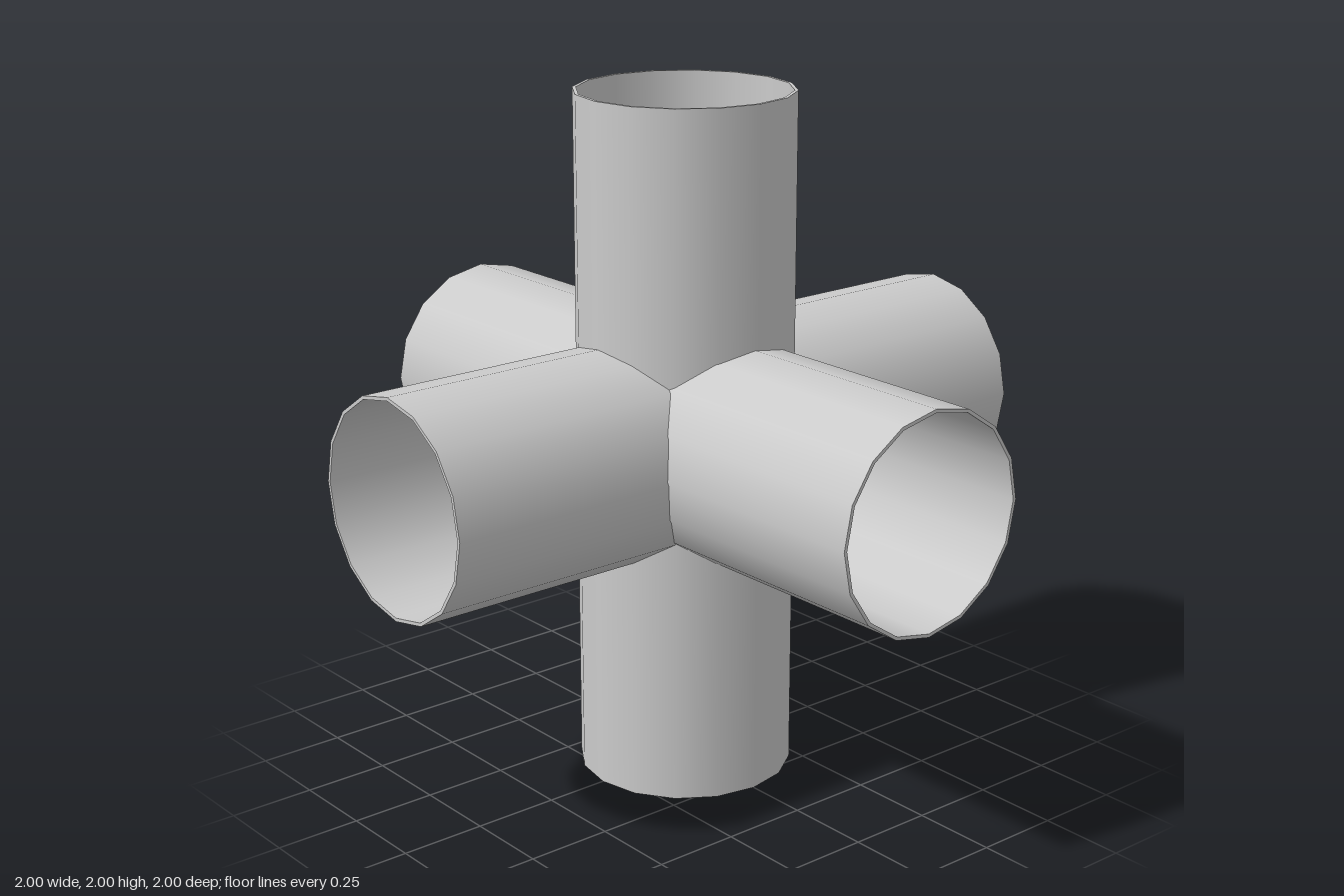
import * as THREE from 'three';

const OUTER = 0.312, INNER = 0.302, SIDES = 16, LENGTH = 1;

export function createModel() {
  const model = new THREE.Group();
  const material = new THREE.MeshStandardMaterial({ color: 0xcccccc, side: THREE.DoubleSide });

  // Open pipe along +y: outer wall to the core, thin lining and flat rim at the mouth
  const outerWall = new THREE.CylinderGeometry(OUTER, OUTER, LENGTH, SIDES, 1, true)
    .translate(0, LENGTH / 2, 0);
  const innerStart = 0.2;
  const innerWall = new THREE.CylinderGeometry(INNER, INNER, LENGTH - innerStart, SIDES, 1, true)
    .translate(0, (LENGTH + innerStart) / 2, 0);
  const rim = new THREE.RingGeometry(INNER, OUTER, SIDES)
    .rotateX(-Math.PI / 2).translate(0, LENGTH, 0);

  const up = new THREE.Vector3(0, 1, 0);
  function addPipe(name, direction, offset = [0, 0, 0]) {
    const pipe = new THREE.Group();
    pipe.name = name;
    for (const [part, geometry] of [['outerWall', outerWall], ['innerWall', innerWall], ['rim', rim]]) {
      const mesh = new THREE.Mesh(geometry, material);
      mesh.name = part;
      pipe.add(mesh);
    }
    pipe.quaternion.setFromUnitVectors(up, new THREE.Vector3(...direction));
    pipe.position.set(offset[0], 1 + offset[1], offset[2]);
    model.add(pipe);
  }

  // Six pipes meeting at the centre; the left one sits very slightly off axis
  addPipe('topPipe', [0, 1, 0]);
  addPipe('bottomPipe', [0, -1, 0]);
  addPipe('leftPipe', [1, 0, 0], [0, 0.01, 0.007]);
  addPipe('rightPipe', [-1, 0, 0]);
  addPipe('frontPipe', [0, 0, 1]);
  addPipe('backPipe', [0, 0, -1]);

  return model;
}
